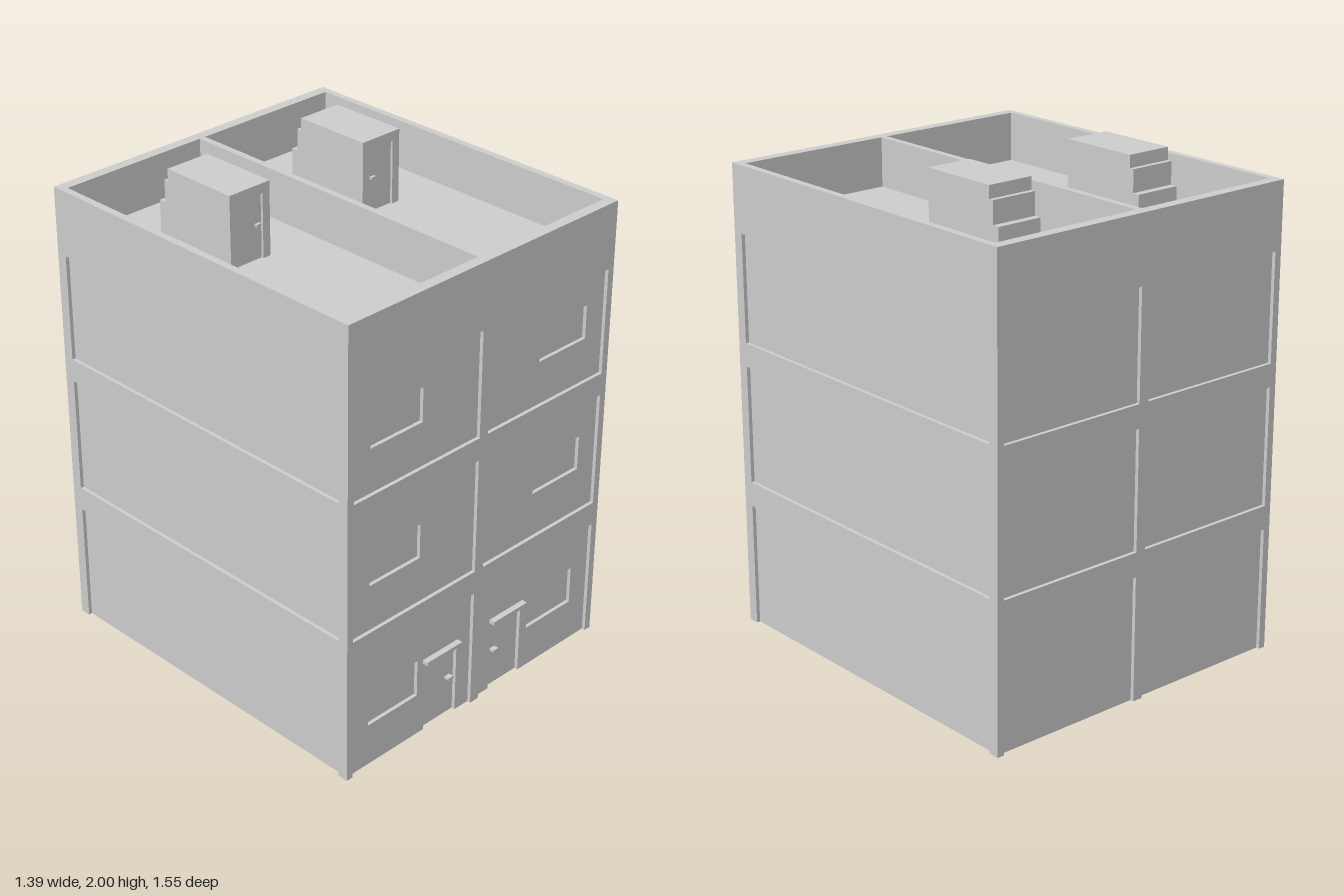
import * as THREE from 'three';

const mat = new THREE.MeshStandardMaterial({ color: 0xcccccc, flatShading: true });

const HX = 0.695, ZF = 0.765, ZB = -0.775; // outer faces of the house
const ROOF = 1.7, TOP = 1.9, D = 0.015;    // roof deck, parapet top, recess depth
const FLOORS = [[0, 0.51], [0.61, 1.095], [1.19, 1.63]];

function add(parent, name, geometry) {
  const mesh = new THREE.Mesh(geometry, mat);
  mesh.name = name;
  parent.add(mesh);
  return mesh;
}

// Box given by its limits on each axis
function block(parent, name, x0, x1, y0, y1, z0, z1) {
  const mesh = add(parent, name, new THREE.BoxGeometry(x1 - x0, y1 - y0, z1 - z0));
  mesh.position.set((x0 + x1) / 2, (y0 + y1) / 2, (z0 + z1) / 2);
  return mesh;
}

function rectPath(x0, x1, y0, y1) {
  return new THREE.Path([[x0, y0], [x0, y1], [x1, y1], [x1, y0]].map(p => new THREE.Vector2(...p)));
}

// Flat slab with openings [x0, x1, y0, y1]; openings at y = 0 cut through the lower edge
function slab(x0, x1, height, openings, depth) {
  const outline = [[x0, 0]];
  const notches = openings.filter(o => o[2] === 0).sort((a, b) => a[0] - b[0]);
  for (const [a, b, , t] of notches) outline.push([a, 0], [a, t], [b, t], [b, 0]);
  outline.push([x1, 0], [x1, height], [x0, height]);
  const shape = new THREE.Shape(outline.map(p => new THREE.Vector2(...p)));
  for (const o of openings) if (o[2] !== 0) shape.holes.push(rectPath(...o));
  return new THREE.ExtrudeGeometry(shape, { depth, bevelEnabled: false });
}

// Mirror an opening to both halves of the house
const both = ([a, b, c, d]) => [[a, b, c, d], [-b, -a, c, d]];

// Roof stair house with door and stepped back, s = side of the house
function stairHouse(s) {
  const group = new THREE.Group();
  group.name = s > 0 ? 'leftStairHouse' : 'rightStairHouse';
  const span = (a, b) => (s > 0 ? [a, b] : [-b, -a]);
  const profile = [[0.105, 0], [0.48, 0], [0.48, 0.16], [0.45, 0.16], [0.45, 0.25],
    [0.43, 0.25], [0.43, 0.3], [0.105, 0.3]];
  const body = add(group, 'stairHouseBody', new THREE.ExtrudeGeometry(
    new THREE.Shape(profile.map(p => new THREE.Vector2(...p))), { depth: 0.195, bevelEnabled: false }));
  body.rotation.y = Math.PI / 2;
  body.position.set(span(0.24, 0.435)[0], ROOF, 0);
  const [dx0, dx1] = span(0.275, 0.4);
  const front = add(group, 'stairHouseFront',
    slab(...span(0.24, 0.435), 0.3, [[dx0, dx1, 0, 0.26]], 0.01));
  front.position.set(0, ROOF, -0.105);
  block(group, 'stairHouseHandle', ...span(0.285, 0.308), 1.835, 1.845, -0.105, -0.092);
  return group;
}

export function createModel() {
  const house = new THREE.Group();
  house.name = 'house';

  // Solid core behind the facades
  block(house, 'core', -HX + D, HX - D, 0, ROOF, ZB + D, ZF - 2 * D);

  // Front wall layer with window and door recesses
  const windows = [[0.18, 0.34], [0.8, 0.945], [1.37, 1.51]].flatMap(([a, b]) => both([0.31, 0.57, a, b]));
  const doors = both([0.095, 0.27, 0, 0.305]);
  add(house, 'frontWall', slab(-HX + D, HX - D, ROOF, [...windows, ...doors], D))
    .position.z = ZF - 2 * D;

  // Raised frames of columns and floor bands on front and back
  const bays = FLOORS.flatMap(f => both([0.022, HX - 0.03, ...f]));
  for (const [name, z] of [['frontFrame', ZF - D], ['backFrame', ZB]]) {
    add(house, name, slab(-HX, HX, ROOF, bays, D)).position.z = z;
  }

  // Raised frames on both sides
  const half = (ZF - ZB) / 2, mid = (ZF + ZB) / 2;
  const sideBays = FLOORS.map(f => [-half + 0.045, half - 0.045, ...f]);
  for (const [name, x] of [['leftFrame', HX - D], ['rightFrame', -HX]]) {
    const frame = add(house, name, slab(-half + D, half - D, ROOF, sideBays, D));
    frame.rotation.y = Math.PI / 2;
    frame.position.set(x, 0, mid);
  }

  // Parapet with a dividing wall between the two roof decks
  const ring = new THREE.Shape([[-HX, -ZF], [HX, -ZF], [HX, -ZB], [-HX, -ZB]].map(p => new THREE.Vector2(...p)));
  for (const r of both([0.014, HX - 0.03, -ZF + 0.045, -ZB - 0.045])) ring.holes.push(rectPath(...r));
  const parapet = add(house, 'parapet',
    new THREE.ExtrudeGeometry(ring, { depth: TOP - ROOF, bevelEnabled: false }));
  parapet.rotation.x = -Math.PI / 2;
  parapet.position.y = ROOF;

  // Entrances and roof stair houses, one per half
  for (const s of [1, -1]) {
    const span = (a, b) => (s > 0 ? [a, b] : [-b, -a]);
    block(house, 'doorLintel', ...span(0.09, 0.28), 0.312, 0.328, ZF - D, 0.775);
    block(house, 'doorHandle', ...span(0.115, 0.142), 0.163, 0.173, ZF - 2 * D, ZF - 0.008);
    house.add(stairHouse(s));
  }
  return house;
}
